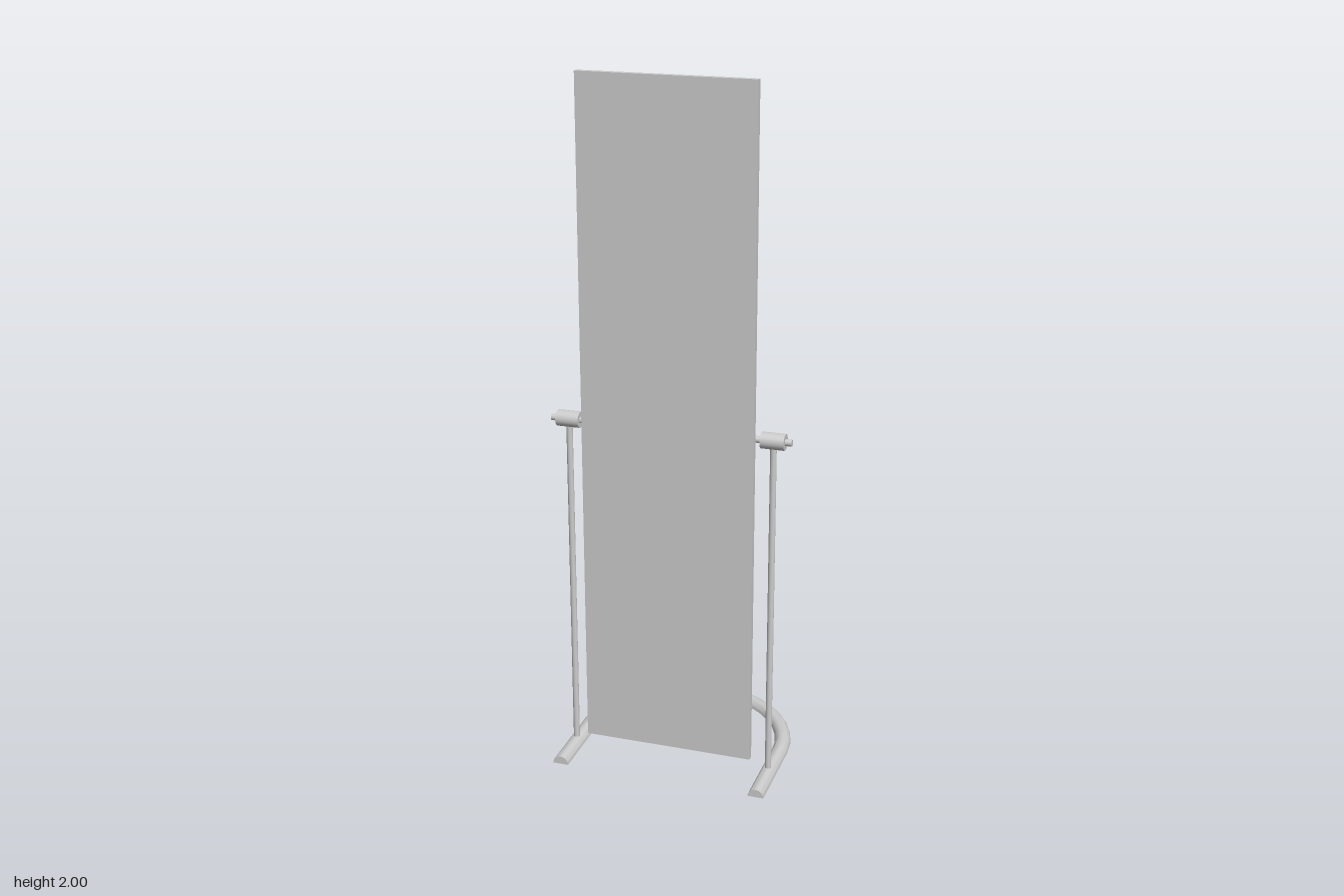
import * as THREE from 'three';
import { toCreasedNormals } from 'three/addons/utils/BufferGeometryUtils.js';

const material = new THREE.MeshStandardMaterial({ color: 0xcccccc });
const BAR_Y = 1.028, BAR_Z = 0.158, LEG_X = 0.296;

function add(parent, name, geometry, x = 0, y = 0, z = 0) {
  const mesh = new THREE.Mesh(geometry, material);
  mesh.name = name;
  mesh.position.set(x, y, z);
  parent.add(mesh);
  return mesh;
}

// Cylinder lying along x
function rod(radius, length, sides) {
  return new THREE.CylinderGeometry(radius, radius, length, sides).rotateZ(Math.PI / 2);
}

// Half-round section swept along a U: straight leg, semicircle, straight leg
function baseGeometry() {
  const r = 0.0235, arcZ = 0.029, frontZ = 0.29, arcSteps = 18, sides = 12;
  const stations = [[LEG_X, frontZ, 0]];
  for (let i = 0; i <= arcSteps; i++) {
    const a = Math.PI * i / arcSteps;
    stations.push([LEG_X * Math.cos(a), arcZ - LEG_X * Math.sin(a), a]);
  }
  stations.push([-LEG_X, frontZ, Math.PI]);

  const positions = [], index = [], n = sides + 1;
  for (const [x, z, a] of stations) {
    for (let j = 0; j < n; j++) {
      const t = Math.PI * j / sides, out = r * Math.cos(t);
      positions.push(x + out * Math.cos(a), r * Math.sin(t), z - out * Math.sin(a));
    }
  }
  const last = (stations.length - 1) * n;
  for (let i = 0; i < last; i += n) {
    for (let j = 0; j < n; j++) {
      const k = (j + 1) % n;
      index.push(i + j, i + n + j, i + k, i + k, i + n + j, i + n + k);
    }
  }
  // End caps
  for (let j = 1; j < n - 1; j++) {
    index.push(0, j, j + 1, last, last + j + 1, last + j);
  }
  const g = new THREE.BufferGeometry();
  g.setAttribute('position', new THREE.Float32BufferAttribute(positions, 3));
  g.setIndex(index);
  return toCreasedNormals(g, 0.7);
}

// Round-backed bracket wrapping the bar and meeting the panel
function clipGeometry() {
  const r = 0.022, width = 0.018, reach = 0.0125;
  const shape = new THREE.Shape();
  shape.moveTo(-reach, -r);
  shape.lineTo(0, -r);
  shape.absarc(0, 0, r, -Math.PI / 2, Math.PI / 2, false);
  shape.lineTo(-reach, r);
  shape.closePath();
  const g = new THREE.ExtrudeGeometry(shape, { depth: width, bevelEnabled: false, curveSegments: 12 });
  g.translate(0, 0, -width / 2).rotateY(Math.PI / 2);
  return toCreasedNormals(g, 0.7);
}

export function createModel() {
  const model = new THREE.Group();
  model.name = 'standingMirror';

  add(model, 'base', baseGeometry());
  add(model, 'mirrorPanel', new THREE.BoxGeometry(0.497, 1.945, 0.018), 0, 1.0275, 0.179);
  add(model, 'pivotBar', rod(0.0095, 0.696, 20), 0, BAR_Y, BAR_Z);

  // Uprights and the collars that carry the bar
  for (const [side, s] of [['left', 1], ['right', -1]]) {
    add(model, side + 'Upright', new THREE.CylinderGeometry(0.009, 0.009, 1, 20), s * LEG_X, 0.518, BAR_Z);
    add(model, side + 'Collar', rod(0.0232, 0.067, 24), s * LEG_X, BAR_Y, BAR_Z);
  }

  for (const x of [-0.217, 0, 0.217]) {
    add(model, 'panelClip', clipGeometry(), x, BAR_Y, BAR_Z);
  }
  return model;
}
